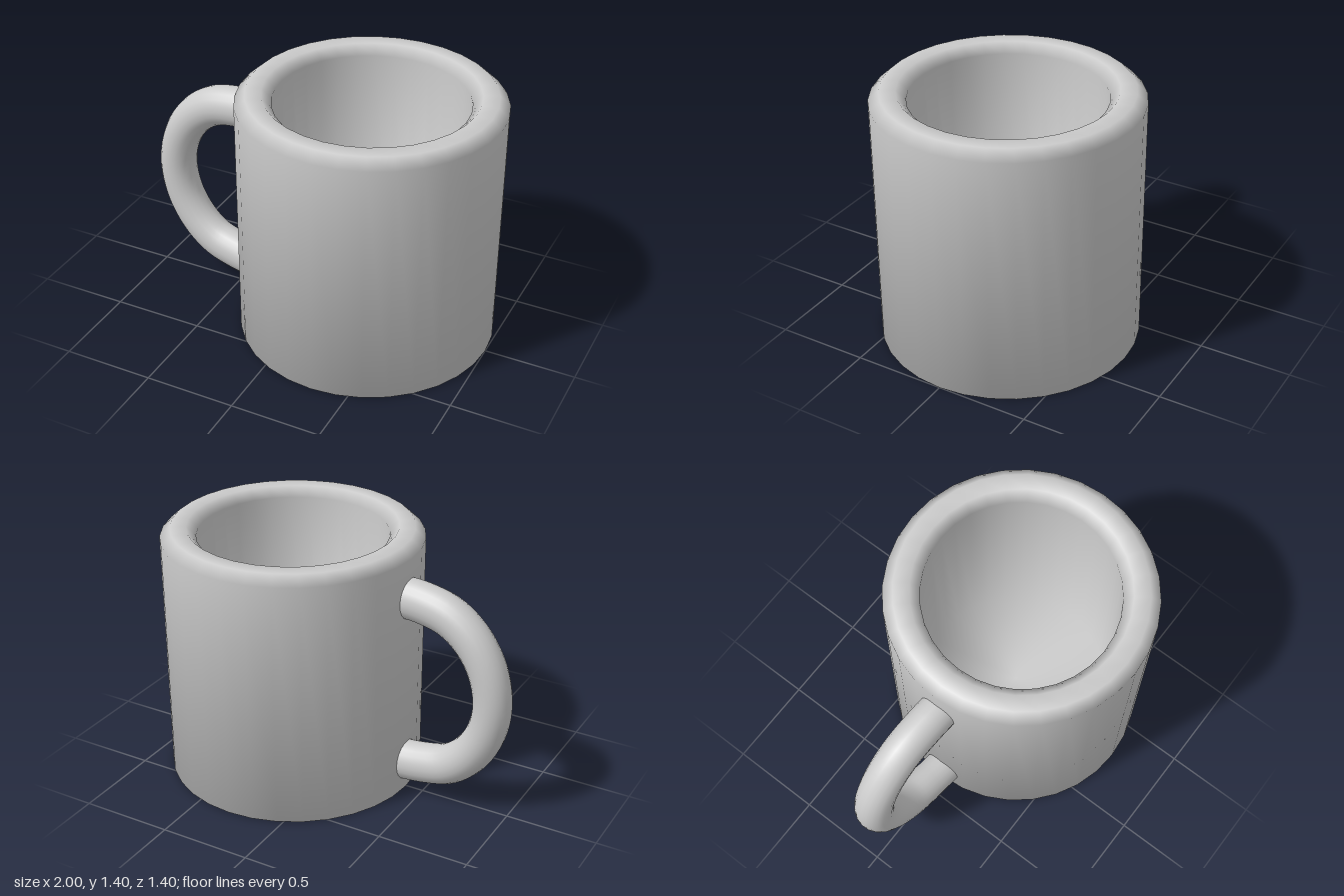
import * as THREE from 'three';

export function createModel() {
  const group = new THREE.Group();
  const material = new THREE.MeshStandardMaterial({ color: 0xcccccc });

  // Cup: one closed profile with bevelled rim, hollow inside and flat base
  const profile = [
    [0, 0], [0.7, 0], [0.7, 1.355], [0.645, 1.405],
    [0.56, 1.405], [0.51, 1.355], [0.51, 0.14], [0, 0.14],
  ].map(([r, y]) => new THREE.Vector2(r, y));
  const cup = new THREE.Mesh(new THREE.LatheGeometry(profile, 32), material);
  cup.name = 'cup';
  cup.position.x = 0.3;
  group.add(cup);

  // Handle: C-shaped tube, slightly taller than round and leaning to the back
  const stretch = 1.1;
  const path = [
    [-0.3, 1.133], [-0.48, 1.13], [-0.645, 1.09], [-0.78, 0.985], [-0.868, 0.835],
    [-0.9, 0.66], [-0.868, 0.485], [-0.78, 0.335], [-0.66, 0.235], [-0.52, 0.192], [-0.3, 0.16],
  ].map(([x, y]) => new THREE.Vector3(x, y / stretch, (x + 0.4) * 0.08));
  const curve = new THREE.CatmullRomCurve3(path);
  const handle = new THREE.Mesh(new THREE.TubeGeometry(curve, 48, 0.102, 20), material);
  handle.name = 'handle';
  handle.scale.y = stretch;
  group.add(handle);

  return group;
}
